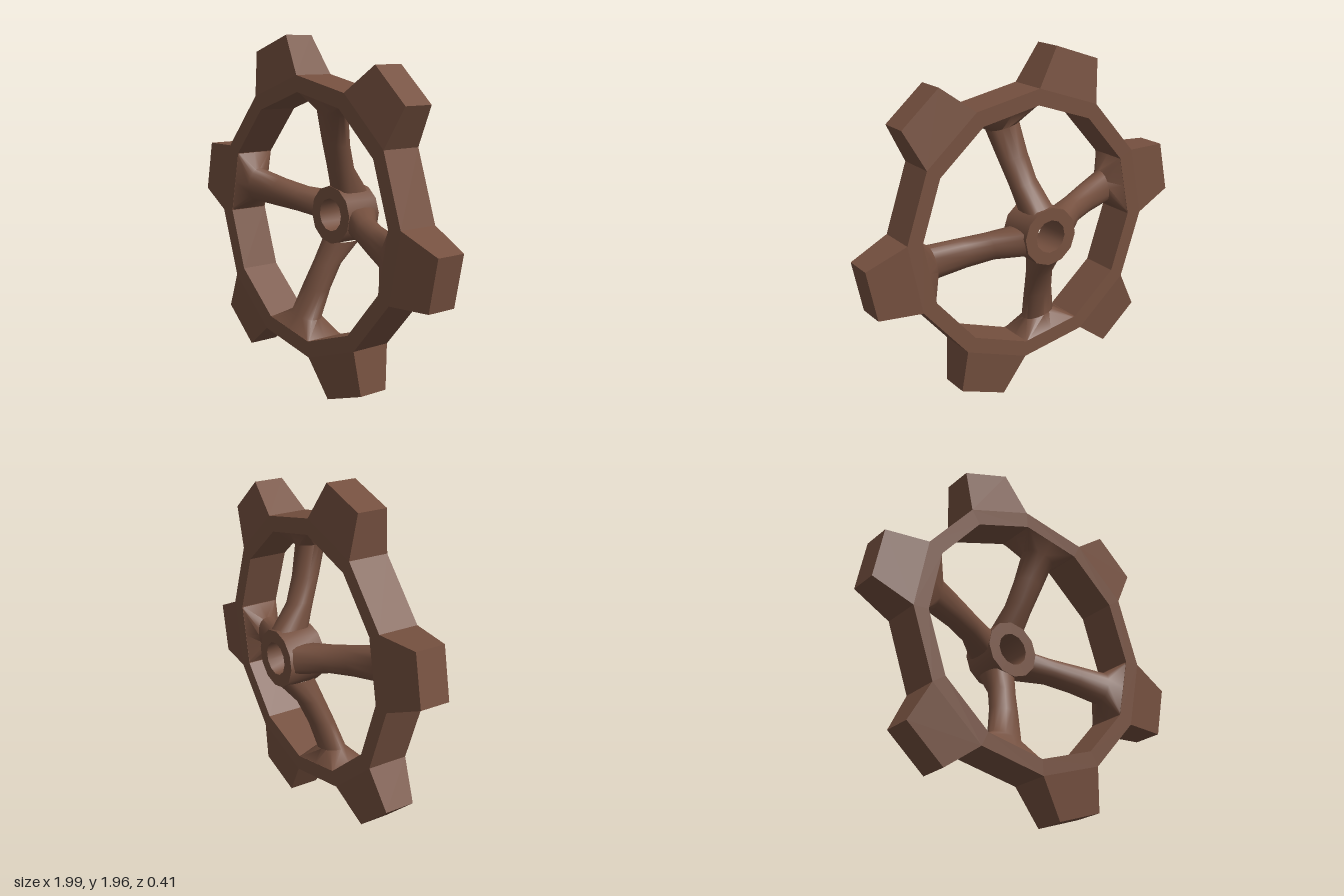
import * as THREE from 'three';
import { toCreasedNormals } from 'three/addons/utils/BufferGeometryUtils.js';

const TILT = THREE.MathUtils.degToRad(-11.4);
const BACK = -0.03, FRONT = 0.205;        // rim depth
const R_IN = 0.682, R_OUT = 0.772;        // rim corner radii
const STEP = Math.PI / 6;

// Skin a row of equal-length loops; optionally cap the last one.
function loft(loops, cap, crease) {
  const pos = [];
  const tri = (a, b, c) => pos.push(...a, ...b, ...c);
  for (let i = 0; i < loops.length - 1; i++) {
    const p = loops[i], q = loops[i + 1], n = p.length;
    for (let j = 0; j < n; j++) {
      const k = (j + 1) % n;
      tri(p[j], p[k], q[k]);
      tri(p[j], q[k], q[j]);
    }
  }
  if (cap) {
    const e = loops[loops.length - 1];
    for (let j = 1; j < e.length - 1; j++) tri(e[0], e[j], e[j + 1]);
  }
  const g = new THREE.BufferGeometry();
  g.setAttribute('position', new THREE.Float32BufferAttribute(pos, 3));
  return toCreasedNormals(g, crease);
}

// Rectangle facing +x
const rect = (x, w, z0, z1) => [[x, -w, z0], [x, w, z0], [x, w, z1], [x, -w, z1]];

// Rounded section facing +x; a small power makes it square
function rounded(x, w, z0, z1, power) {
  const f = (v) => Math.abs(v) < 1e-6 ? 0 : Math.sign(v) * Math.abs(v) ** power;
  return Array.from({ length: 16 }, (_, i) => {
    const a = i * Math.PI / 8;
    return [x, w * f(Math.cos(a)), (z0 + z1) / 2 + (z1 - z0) / 2 * f(Math.sin(a))];
  });
}

export function createModel() {
  const brown = new THREE.MeshStandardMaterial({ color: 0x75503f });
  brown.name = 'brown';
  const model = new THREE.Group();
  model.name = 'handWheel';
  const wheel = new THREE.Group();
  wheel.name = 'wheel';
  wheel.position.y = 0.99;
  wheel.rotation.z = TILT;
  model.add(wheel);

  const add = (name, geometry, angle = 0) => {
    const mesh = new THREE.Mesh(geometry, brown);
    mesh.name = name;
    mesh.rotation.z = angle;
    wheel.add(mesh);
  };

  // Twelve-sided rim
  const rimLoops = [];
  for (let i = 0; i <= 12; i++) {
    const a = (i + 0.5) * STEP, c = Math.cos(a), s = Math.sin(a);
    rimLoops.push([[BACK, R_IN], [FRONT, R_IN], [FRONT, R_OUT], [BACK, R_OUT]]
      .map(([z, r]) => [r * c, r * s, z]));
  }
  add('rim', loft(rimLoops, false, 0.4));

  // Six tapered teeth
  const tooth = loft([
    rect(R_OUT * Math.cos(STEP / 2), R_OUT * Math.sin(STEP / 2), BACK, FRONT),
    rect(0.987, 0.145, 0, 0.175),
  ], true, 0.3);
  for (let i = 0; i < 6; i++) add('tooth' + (i + 1), tooth, i * 2 * STEP);

  // Four spokes, sloping back to the hub and flaring into the rim
  const spoke = loft([
    rounded(0.145, 0.08, -0.2, 0.005, 0.7),
    rounded(0.28, 0.078, -0.09, 0.06, 1),
    rounded(0.42, 0.086, -0.03, 0.11, 1),
    rounded(0.585, 0.098, 0.02, 0.16, 0.9),
    rounded(R_IN * Math.cos(STEP / 2) + 0.002, R_IN * Math.sin(STEP / 2), BACK, FRONT, 0.08),
  ], false, 0.9);
  for (let i = 0; i < 4; i++) add('spoke' + (i + 1), spoke, i * Math.PI / 2);

  // Hub with a round bore
  const ro = 0.162, ri = 0.092, h = 0.108;
  const profile = [[ri, -h], [ro, -h], [ro, h], [ri, h], [ri, -h]]
    .map(([x, y]) => new THREE.Vector2(x, y));
  const hub = new THREE.LatheGeometry(profile, 12);
  hub.rotateX(Math.PI / 2);
  hub.rotateZ(STEP / 2);
  hub.translate(0, 0, -0.097);
  add('hub', toCreasedNormals(hub, 0.6));

  return model;
}
